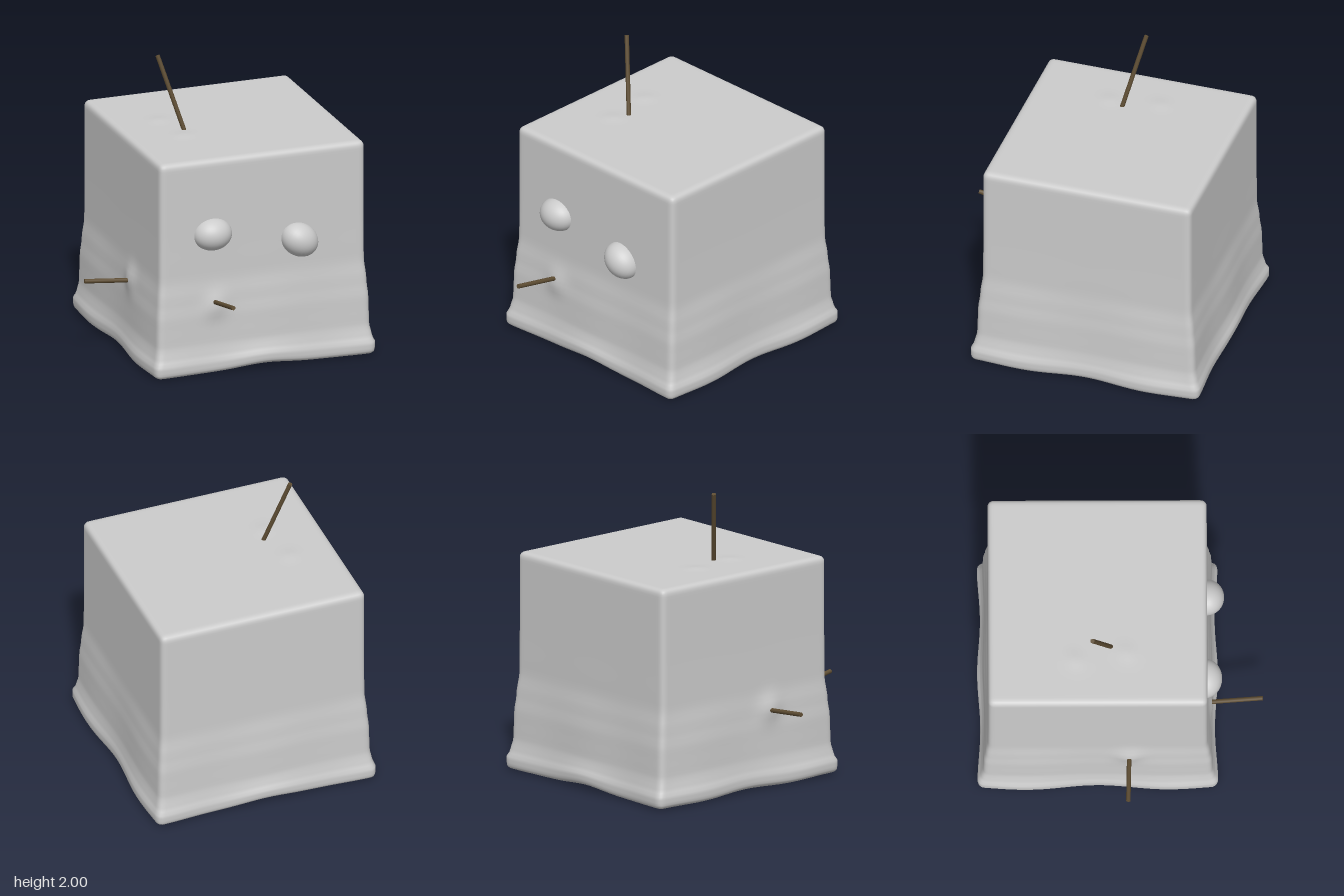
import * as THREE from 'three';
import { mergeVertices } from 'three/addons/utils/BufferGeometryUtils.js';

const grey = new THREE.MeshStandardMaterial({ color: 0xcccccc });
const wood = new THREE.MeshStandardMaterial({ color: 0x5e4d33 });
const HALF = 0.73, HEIGHT = 1.505, RADIUS = 0.04;
const CENTRE = new THREE.Vector3(0.13, 0, -0.15);

const sticks = [
  { name: 'topStick', from: [-0.18, 1.47, -0.055], to: [-0.33, 2.0, -0.185] },
  { name: 'rightStick', from: [-0.56, 0.525, 0.06], to: [-0.94, 0.56, 0.052] },
  { name: 'frontStick', from: [-0.22, 0.49, 0.53], to: [-0.22, 0.575, 0.95] },
];
// Small swellings where the sticks enter: position, push, spread
const bumps = [
  { at: [-0.6, 0.54, 0.06], push: [-0.028, 0, 0], spread: 0.085 },
  { at: [-0.21, 0.48, 0.59], push: [0, 0, 0.025], spread: 0.08 },
  { at: [-0.28, 1.5, -0.3], push: [0, 0.008, 0], spread: 0.06 },
  { at: [-0.23, 1.5, 0.04], push: [0, 0.008, 0], spread: 0.06 },
];

// Sag of the sides by height, as [height, amount] with 1 the fullest
const sag = [[0, 0.86], [0.03, 0.98], [0.09, 1], [0.14, 0.7], [0.22, 0.48], [0.4, 0.42], [0.52, 0.25], [0.68, 0.02], [1, 0], [1.6, 0]];
function sagAt(y) {
  const i = Math.max(1, sag.findIndex(p => p[0] >= y));
  const [y0, a0] = sag[i - 1], [y1, a1] = sag[i];
  return THREE.MathUtils.lerp(a0, a1, THREE.MathUtils.smoothstep(y, y0, y1));
}

// Soft cube: rounded edges, sagging sides and a wavy hem
function bodyGeometry() {
  const box = new THREE.BoxGeometry(2, 2, 2, 48, 48, 48);
  box.deleteAttribute('uv');
  box.deleteAttribute('normal');
  const geometry = mergeVertices(box);
  const pos = geometry.attributes.position;
  const v = new THREE.Vector3(), core = new THREE.Vector3(), d = new THREE.Vector3();
  const half = new THREE.Vector3(HALF, HEIGHT / 2 - 0.005, HALF);
  const inner = half.clone().subScalar(RADIUS);
  // Crowd the grid lines toward the edges
  const crowd = t => 0.45 * t + 0.55 * Math.sin(t * Math.PI / 2);
  for (let i = 0; i < pos.count; i++) {
    v.fromBufferAttribute(pos, i);
    v.set(crowd(v.x), crowd(v.y), crowd(v.z)).multiply(half);
    core.copy(v).clamp(inner.clone().negate(), inner);
    d.subVectors(v, core);
    if (d.lengthSq() > 0) v.copy(core).addScaledVector(d.normalize(), RADIUS);
    v.y += half.y + 0.005;

    const s = sagAt(v.y), x = v.x, z = v.z;
    v.x += x / HALF * s * (0.058 - 0.014 * Math.cos(z * Math.PI * 2 / 0.9));
    v.z += z / HALF * s * (0.062 + 0.01 * Math.cos(x * Math.PI * 2 / 0.72));
    const hem = 1 - THREE.MathUtils.smoothstep(v.y, 0, 0.25);
    v.y += hem * (0.033 * Math.exp(-((x / 0.22) ** 2)) * (z / HALF) ** 2
      + 0.007 * (1 + Math.cos(z * 9)) * (x / HALF) ** 2 * (1 - (z / 0.8) ** 2));

    v.add(CENTRE);
    for (const b of bumps) {
      const r = d.fromArray(b.at).distanceTo(v) / b.spread;
      v.addScaledVector(d.fromArray(b.push), Math.exp(-(r ** 2)));
    }
    pos.setXYZ(i, v.x, v.y, v.z);
  }
  geometry.computeVertexNormals();
  return geometry;
}

function makeStick({ name, from, to }) {
  const a = new THREE.Vector3(...from), b = new THREE.Vector3(...to);
  const dir = b.clone().sub(a);
  const mesh = new THREE.Mesh(new THREE.CylinderGeometry(0.015, 0.015, dir.length(), 10), wood);
  mesh.position.copy(a).add(b).multiplyScalar(0.5);
  mesh.quaternion.setFromUnitVectors(new THREE.Vector3(0, 1, 0), dir.normalize());
  mesh.name = name;
  return mesh;
}

function makeEye(name, x, y, z, tilt) {
  const eye = new THREE.Mesh(new THREE.SphereGeometry(1, 32, 20), grey);
  eye.scale.set(0.135, 0.112, 0.115);
  eye.position.set(x, y, z);
  eye.rotation.z = tilt;
  eye.name = name;
  return eye;
}

export function createModel() {
  const group = new THREE.Group();
  const body = new THREE.Mesh(bodyGeometry(), grey);
  body.name = 'body';
  group.add(body);
  group.add(makeEye('rightEye', -0.225, 0.975, 0.565, 0));
  group.add(makeEye('leftEye', 0.39, 0.865, 0.58, -0.6));
  for (const s of sticks) group.add(makeStick(s));
  return group;
}
